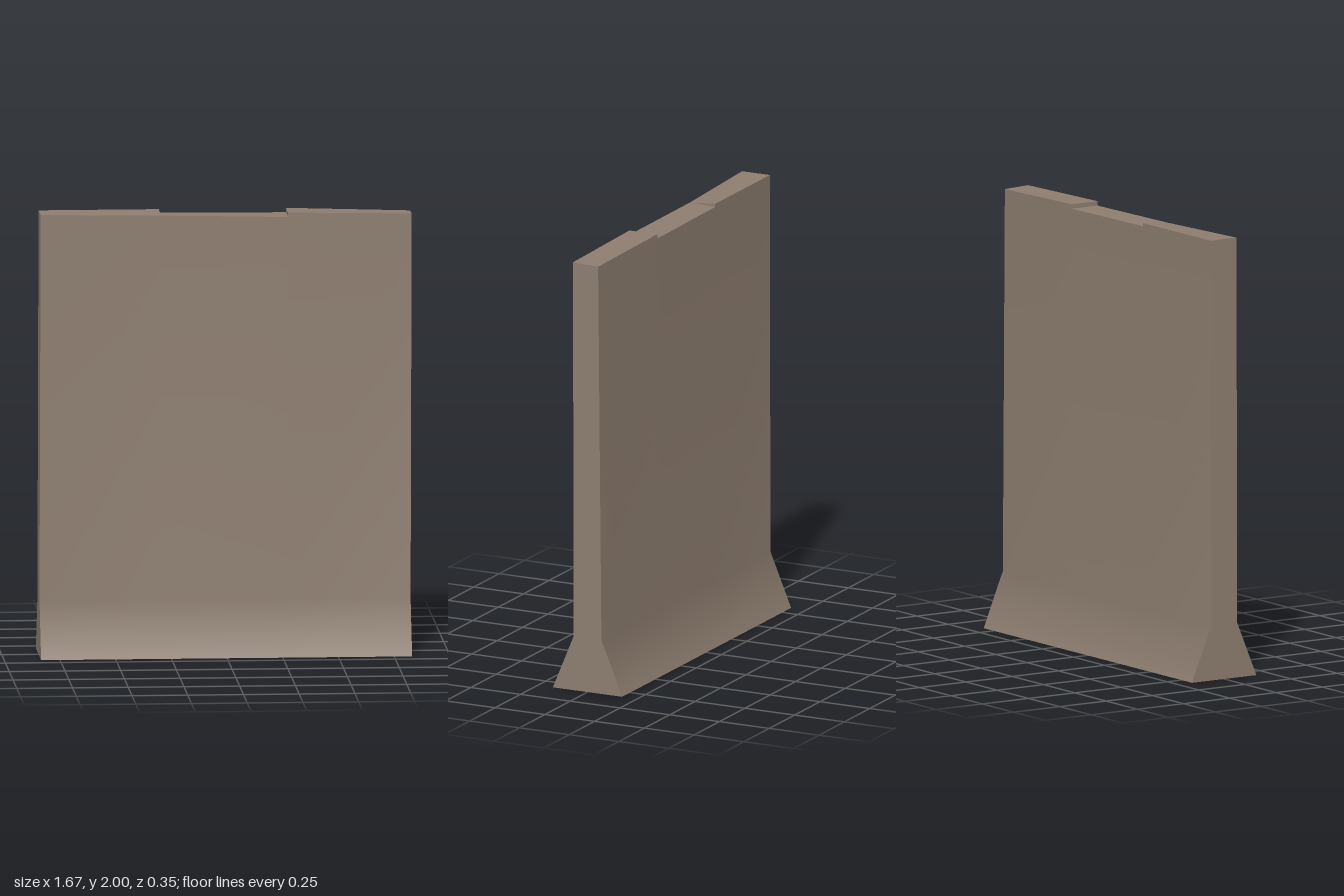
import * as THREE from 'three';
import { mergeVertices } from 'three/addons/utils/BufferGeometryUtils.js';

// Three wall sections; each end is a station: x at foot and top, top z and top y for front and back
const station = (xFoot, xTop, zFront, zBack, yFront, yBack) => ({
  front: [[xFoot, 0, 0.174], [xFoot, 0.25, 0.07], [xTop, yFront, zFront]],
  back: [[xFoot, 0, -0.174], [xFoot, 0.25, -0.07], [xTop, yBack, zBack]],
});
const SECTIONS = [
  [station(-0.835, -0.83, 0.07, -0.07, 2, 2), station(-0.29, -0.29, 0.057, -0.07, 1.99, 2)],
  [station(-0.29, -0.29, 0.057, -0.07, 1.99, 1.985), station(0.28, 0.28, 0.07, -0.07, 1.98, 1.98)],
  [station(0.28, 0.28, 0.07, -0.07, 2, 2), station(0.83, 0.835, 0.07, -0.056, 1.99, 1.985)],
];

// Quads with counter-clockwise corners; shared corners are welded so the surface is smooth
function surface(quads) {
  const points = quads.flatMap(([a, b, c, d]) => [a, b, c, a, c, d]).flat();
  let geometry = new THREE.BufferGeometry();
  geometry.setAttribute('position', new THREE.Float32BufferAttribute(points, 3));
  geometry = mergeVertices(geometry);
  geometry.computeVertexNormals();
  return geometry;
}

export function createModel() {
  const group = new THREE.Group();
  group.name = 'wallPanel';
  const stone = new THREE.MeshStandardMaterial({ color: 0x8d7d6f });
  stone.name = 'taupe stone';
  const add = (name, quads) => {
    const mesh = new THREE.Mesh(surface(quads), stone);
    mesh.name = name;
    group.add(mesh);
  };

  // Broad faces, running smoothly from the flared foot into the wall
  const front = [], back = [];
  for (const [l, r] of SECTIONS) {
    for (let i = 0; i < 2; i++) {
      front.push([l.front[i], r.front[i], r.front[i + 1], l.front[i + 1]]);
      back.push([r.back[i], l.back[i], l.back[i + 1], r.back[i + 1]]);
    }
  }
  add('frontFace', front);
  add('backFace', back);

  // Uneven top of each section
  SECTIONS.forEach(([l, r], i) =>
    add(`topFace${i + 1}`, [[l.front[2], r.front[2], r.back[2], l.back[2]]]));

  // Small risers where the top steps
  const [a, b, c] = SECTIONS;
  add('leftStep', [[b[0].front[2], b[0].back[2], a[1].back[2], a[1].front[2]]]);
  add('rightStep', [[b[1].back[2], b[1].front[2], c[0].front[2], c[0].back[2]]]);

  // Ends and underside
  const first = a[0], last = c[1];
  add('rightEnd', [0, 1].map((i) =>
    [first.back[i], first.front[i], first.front[i + 1], first.back[i + 1]]));
  add('leftEnd', [0, 1].map((i) =>
    [last.front[i], last.back[i], last.back[i + 1], last.front[i + 1]]));
  add('underside', [[first.back[0], last.back[0], last.front[0], first.front[0]]]);
  return group;
}
